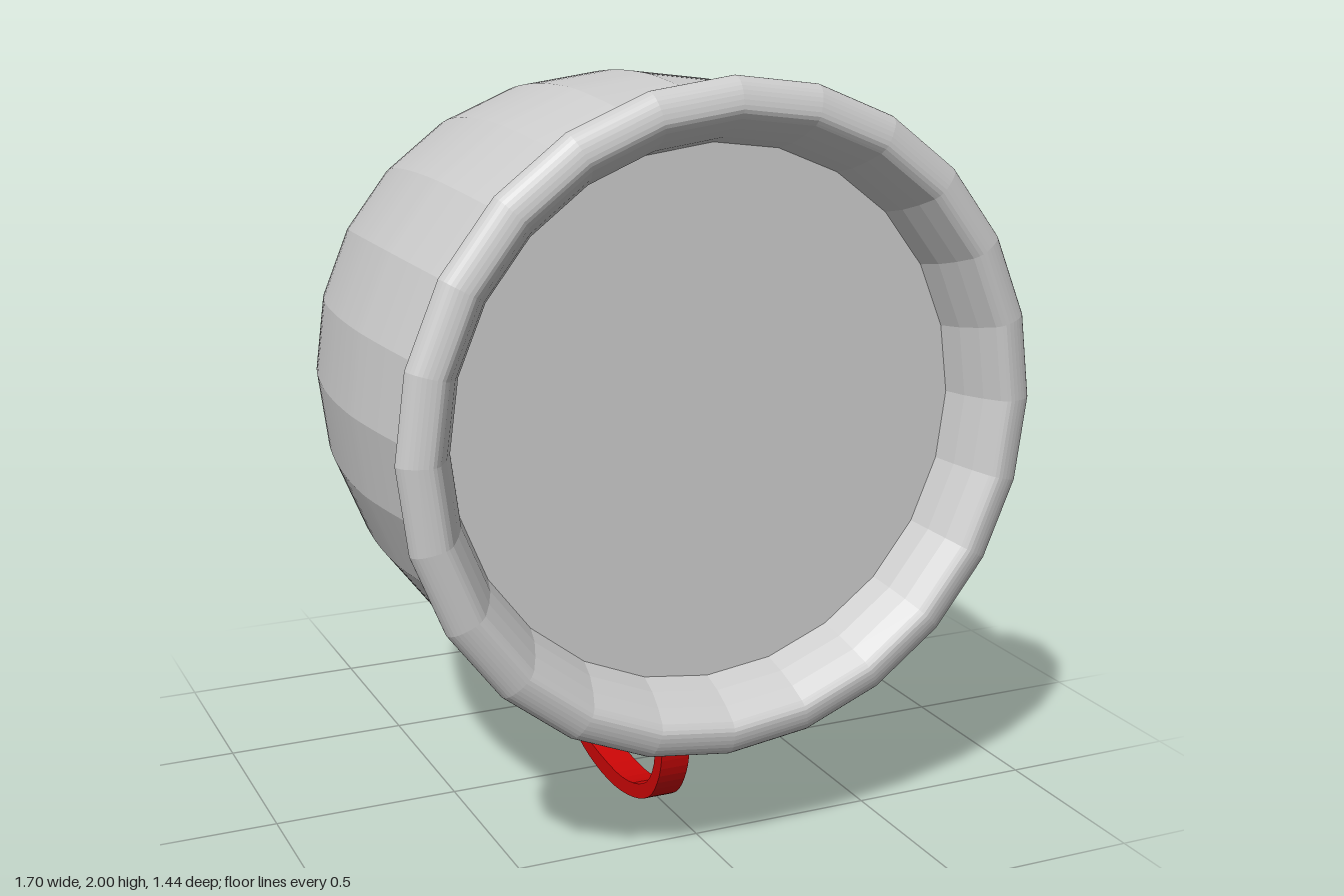
import * as THREE from 'three';

const SIDES = 24;
const AXIS_Y = 1.15;
const points = (list) => list.map(([a, b]) => new THREE.Vector2(a, b));

// Turn a profile of [radius, z] points around the horizontal z axis.
function turned(name, profile, material) {
  const geometry = new THREE.LatheGeometry(profile, SIDES).rotateX(Math.PI / 2);
  const mesh = new THREE.Mesh(geometry, material);
  mesh.name = name;
  mesh.position.y = AXIS_Y;
  return mesh;
}

export function createModel() {
  const group = new THREE.Group();
  group.name = 'cup';
  const grey = new THREE.MeshStandardMaterial({ color: 0xcccccc, flatShading: true });
  const smoothGrey = new THREE.MeshStandardMaterial({ color: 0xcccccc });
  const red = new THREE.MeshStandardMaterial({ color: 0xcc0606 });

  // Bulging wall with faceted sides
  const wall = new THREE.SplineCurve(points([
    [0.56, -0.714], [0.65, -0.59], [0.716, -0.45], [0.762, -0.3], [0.79, -0.15],
    [0.806, 0], [0.811, 0.15], [0.807, 0.25], [0.793, 0.4], [0.769, 0.575],
  ]));
  group.add(turned('wall', wall.getPoints(36), grey));

  // Flared lip: concave outside, blunt rounded front
  const lip = new THREE.SplineCurve(points([
    [0.769, 0.575], [0.782, 0.61], [0.808, 0.638], [0.843, 0.655], [0.85, 0.67],
    [0.838, 0.695], [0.81, 0.712], [0.775, 0.718], [0.752, 0.705],
  ]));
  group.add(turned('lip', lip.getPoints(24), grey));

  // Sloping inside of the mouth, down to the fill
  group.add(turned('mouth', points([
    [0.752, 0.705], [0.725, 0.665], [0.7, 0.615], [0.68, 0.55],
  ]), grey));

  // Closed base, very slightly domed
  group.add(turned('base', points([[0, -0.72], [0.4, -0.719], [0.56, -0.714]]), smoothGrey));

  // Flat surface filling the mouth
  const fill = new THREE.Mesh(new THREE.CircleGeometry(0.682, SIDES), grey);
  fill.name = 'fill';
  fill.position.set(0, AXIS_Y, 0.555);
  group.add(fill);

  // Handle: outline in (z, y), outer curve then inner curve back
  const shape = new THREE.Shape();
  shape.moveTo(0.49, 0.385);
  shape.lineTo(0.49, 0.36);
  shape.lineTo(0.45, 0.31);
  shape.splineThru(points([
    [0.455, 0.22], [0.432, 0.14], [0.375, 0.068], [0.27, 0.022], [0.13, 0.001],
    [-0.02, 0.014], [-0.15, 0.054], [-0.29, 0.12], [-0.4, 0.215], [-0.49, 0.33],
    [-0.53, 0.42], [-0.57, 0.5],
  ]));
  shape.lineTo(-0.45, 0.46);
  shape.lineTo(-0.45, 0.37);
  shape.splineThru(points([
    [-0.41, 0.305], [-0.33, 0.21], [-0.21, 0.125], [-0.07, 0.072], [0.14, 0.048],
    [0.27, 0.064], [0.365, 0.11], [0.408, 0.19], [0.395, 0.27],
  ]));
  shape.lineTo(0.29, 0.345);
  shape.lineTo(0.29, 0.37);
  const handleGeometry = new THREE.ExtrudeGeometry(shape, {
    depth: 0.08, bevelEnabled: false, curveSegments: 3,
  }).rotateY(-Math.PI / 2);
  const handle = new THREE.Mesh(handleGeometry, red);
  handle.name = 'handle';
  group.add(handle);

  return group;
}
